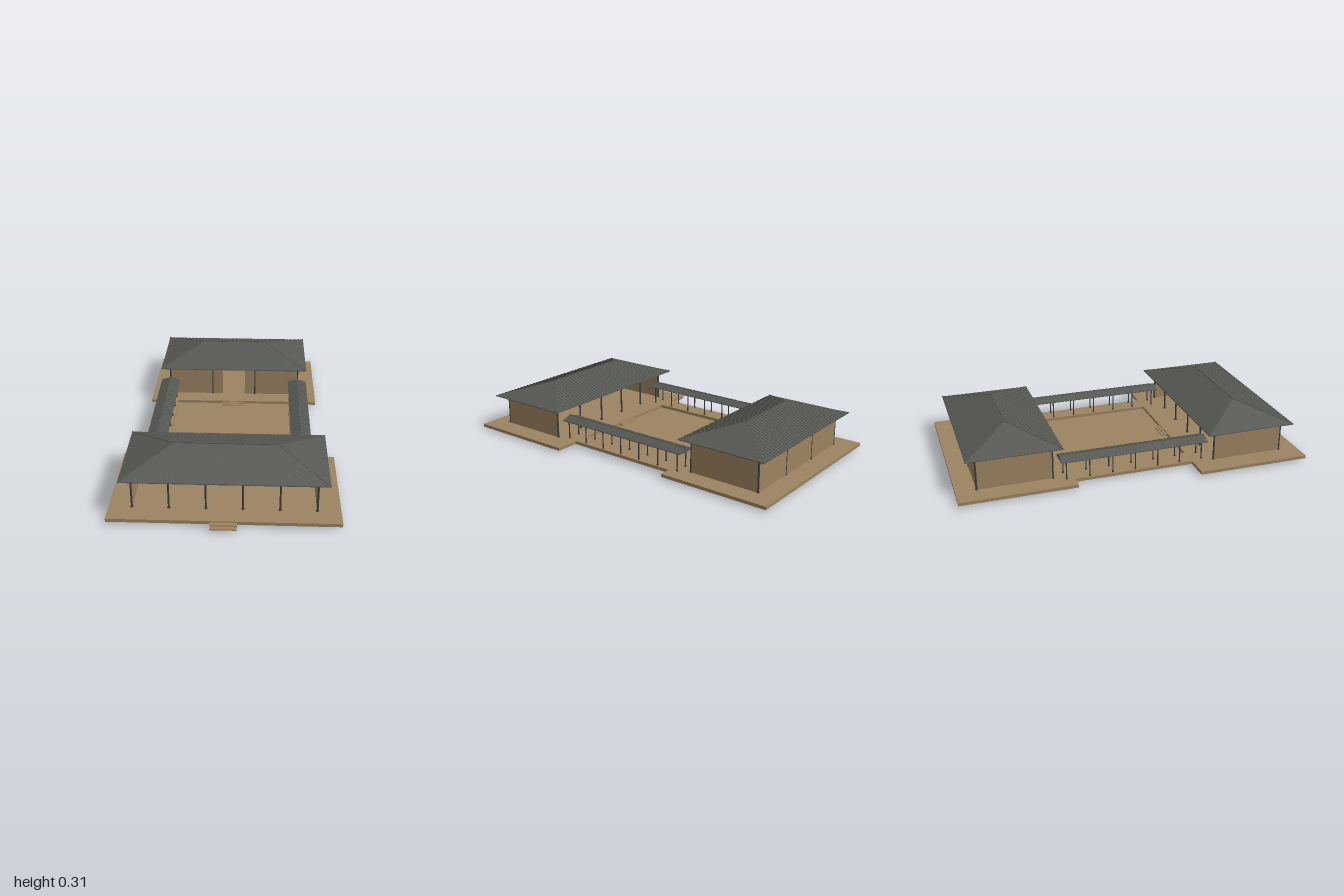
import * as THREE from 'three';

const earth = new THREE.MeshStandardMaterial({ name: 'earthPlaster', color: 0x9c8460 });
const tile = new THREE.MeshStandardMaterial({ name: 'greyTile', color: 0x565853 });
const timber = new THREE.MeshStandardMaterial({ name: 'darkTimber', color: 0x3b4145 });

// Box given by its limits on each axis
function slab(parent, name, mat, x0, x1, y0, y1, z0, z1) {
  const mesh = new THREE.Mesh(new THREE.BoxGeometry(x1 - x0, y1 - y0, z1 - z0), mat);
  mesh.position.set((x0 + x1) / 2, (y0 + y1) / 2, (z0 + z1) / 2);
  mesh.name = name;
  parent.add(mesh);
}

// Square bar running from a to b
function bar(parent, name, mat, a, b, w) {
  const from = new THREE.Vector3(...a), to = new THREE.Vector3(...b);
  const mesh = new THREE.Mesh(new THREE.BoxGeometry(w, w, from.distanceTo(to)), mat);
  mesh.position.copy(from).add(to).multiplyScalar(0.5);
  mesh.lookAt(to);
  mesh.name = name;
  parent.add(mesh);
}

// Round column on a small plinth
function column(parent, x, z, y0, y1, r) {
  const shaft = new THREE.Mesh(new THREE.CylinderGeometry(r, r, y1 - y0, 10), timber);
  shaft.position.set(x, (y0 + y1) / 2, z);
  shaft.name = 'column';
  const base = new THREE.Mesh(new THREE.CylinderGeometry(r * 1.4, r * 1.7, 0.008, 10), timber);
  base.position.set(x, y0 + 0.004, z);
  base.name = 'columnBase';
  parent.add(shaft, base);
}

// Solid roof with a ridge along x: ridge half length equal to halfX gives a gable
function roofBody(halfX, halfZ, ridge, y0, y1, lip) {
  const e = y0 + lip;
  const p = [
    [-halfX, y0, halfZ], [halfX, y0, halfZ], [halfX, y0, -halfZ], [-halfX, y0, -halfZ],
    [-halfX, e, halfZ], [halfX, e, halfZ], [halfX, e, -halfZ], [-halfX, e, -halfZ],
    [-ridge, y1, 0], [ridge, y1, 0]];
  const faces = [[3, 2, 1, 0], [0, 1, 5, 4], [1, 2, 6, 5], [2, 3, 7, 6], [3, 0, 4, 7],
    [4, 5, 9, 8], [6, 7, 8, 9], [5, 6, 9], [7, 4, 8]];
  const pos = [];
  for (const f of faces)
    for (let i = 1; i < f.length - 1; i++) pos.push(...p[f[0]], ...p[f[i]], ...p[f[i + 1]]);
  const geo = new THREE.BufferGeometry();
  geo.setAttribute('position', new THREE.Float32BufferAttribute(pos, 3));
  geo.computeVertexNormals();
  return geo;
}

// Roof with ridge cap, hips and tile ribs on both long slopes
function tiledRoof(name, halfX, halfZ, ridge, y0, y1, spacing, rib) {
  const roof = new THREE.Group();
  roof.name = name;
  const lip = 0.004, e = y0 + lip;
  const body = new THREE.Mesh(roofBody(halfX, halfZ, ridge, y0, y1, lip), tile);
  body.name = 'roofBody';
  roof.add(body);
  bar(roof, 'ridgeCap', tile, [-ridge, y1, 0], [ridge, y1, 0], rib * 1.6);
  const n = Math.floor((halfX - 0.01) / spacing);
  for (const s of [-1, 1]) {
    for (let i = -n; i <= n; i++) {
      const x = i * spacing;
      // ribs beyond the ridge stop at the hip line
      const t = Math.abs(x) <= ridge ? 1 : (halfX - Math.abs(x)) / (halfX - ridge);
      bar(roof, 'tileRib', tile, [x, e, s * halfZ],
        [x, e + (y1 - e) * t, s * halfZ * (1 - t)], rib);
    }
    if (ridge < halfX) for (const sx of [-1, 1])
      bar(roof, 'hipCap', tile, [sx * halfX, e, s * halfZ], [sx * ridge, y1, 0], rib);
  }
  return roof;
}

function buildPlatform() {
  const g = new THREE.Group();
  g.name = 'platform';
  const y0 = 0.012, y1 = 0.03;
  slab(g, 'frontTerrace', earth, -0.59, 0.59, y0, y1, 0.31, 0.95);
  slab(g, 'backTerrace', earth, -0.52, 0.52, y0, y1, -1, -0.365);
  slab(g, 'courtyardFloor', earth, -0.35, 0.35, 0, 0.013, -0.365, 0.31);
  for (const s of [-1, 1])
    slab(g, 'corridorFloor', earth, Math.min(s * 0.35, s * 0.455), Math.max(s * 0.35, s * 0.455), y0, y1, -0.365, 0.31);
  // Two-tread steps: z of the terrace edge, direction and tread depth
  for (const [z, d, depth] of [[0.95, 1, 0.025], [0.31, -1, 0.016], [-0.365, 1, 0.016]])
    for (const k of [1, 2]) {
      const end = z + d * depth * k;
      slab(g, 'step', earth, -0.067, 0.067, y0, y1 - k * 0.006, Math.min(z, end), Math.max(z, end));
    }
  return g;
}

function beamRing(g, x, z0, z1, top) {
  for (const z of [z0, z1]) slab(g, 'beam', timber, -x, x, top - 0.01, top, z - 0.004, z + 0.004);
  for (const s of [-1, 1]) slab(g, 'beam', timber, s * x - 0.004, s * x + 0.004, top - 0.01, top, z0, z1);
}

// Open front hall: end walls with colonnades on both long sides
function buildFrontHall() {
  const g = new THREE.Group();
  g.name = 'frontHall';
  const z0 = 0.432, z1 = 0.84, top = 0.205;
  for (const s of [-1, 1])
    slab(g, 'endWall', earth, s * 0.47 - 0.003, s * 0.47 + 0.003, 0.03, top, z0, z1);
  for (const z of [z0, z1])
    for (let i = 0; i < 6; i++) column(g, -0.47 + i * 0.188, z, 0.03, top, 0.005);
  beamRing(g, 0.47, z0, z1, top);
  const roof = tiledRoof('frontRoof', 0.527, 0.257, 0.27, 0.203, 0.291, 0.025, 0.004);
  roof.position.z = 0.633;
  g.add(roof);
  return g;
}

// Walled back hall with a doorway facing the courtyard
function buildBackHall() {
  const g = new THREE.Group();
  g.name = 'backHall';
  const z0 = -0.887, z1 = -0.477, top = 0.217, t = 0.003;
  slab(g, 'backWall', earth, -0.407, 0.407, 0.03, top, z0 - t, z0 + t);
  for (const s of [-1, 1]) {
    slab(g, 'endWall', earth, s * 0.407 - t, s * 0.407 + t, 0.03, top, z0, z1);
    slab(g, 'frontWall', earth, s < 0 ? -0.407 : 0.07, s < 0 ? -0.07 : 0.407, 0.03, top, z1 - t, z1 + t);
  }
  for (const z of [z0, z1])
    for (const x of [-0.407, -0.135, 0.135, 0.407]) column(g, x, z, 0.03, top, 0.005);
  beamRing(g, 0.407, z0, z1, top);
  const roof = tiledRoof('backRoof', 0.458, 0.258, 0.2, 0.215, 0.304, 0.025, 0.004);
  roof.position.z = -0.685;
  g.add(roof);
  return g;
}

// Covered walk linking the halls, on side s
function buildCorridor(s) {
  const g = new THREE.Group();
  g.name = s > 0 ? 'leftCorridor' : 'rightCorridor';
  for (const x of [0.365, 0.44]) {
    for (let i = 0; i < 7; i++) column(g, s * x, 0.37 - i * 0.13, 0.03, 0.138, 0.0035);
    slab(g, 'beam', timber, s * x - 0.003, s * x + 0.003, 0.13, 0.138, -0.42, 0.38);
  }
  const roof = tiledRoof('corridorRoof', 0.42, 0.057, 0.42, 0.134, 0.157, 0.028, 0.003);
  roof.rotation.y = Math.PI / 2;
  roof.position.set(s * 0.402, 0, -0.02);
  g.add(roof);
  return g;
}

export function createModel() {
  const model = new THREE.Group();
  model.name = 'courtyardCompound';
  model.add(buildPlatform(), buildFrontHall(), buildBackHall(), buildCorridor(1), buildCorridor(-1));
  return model;
}
